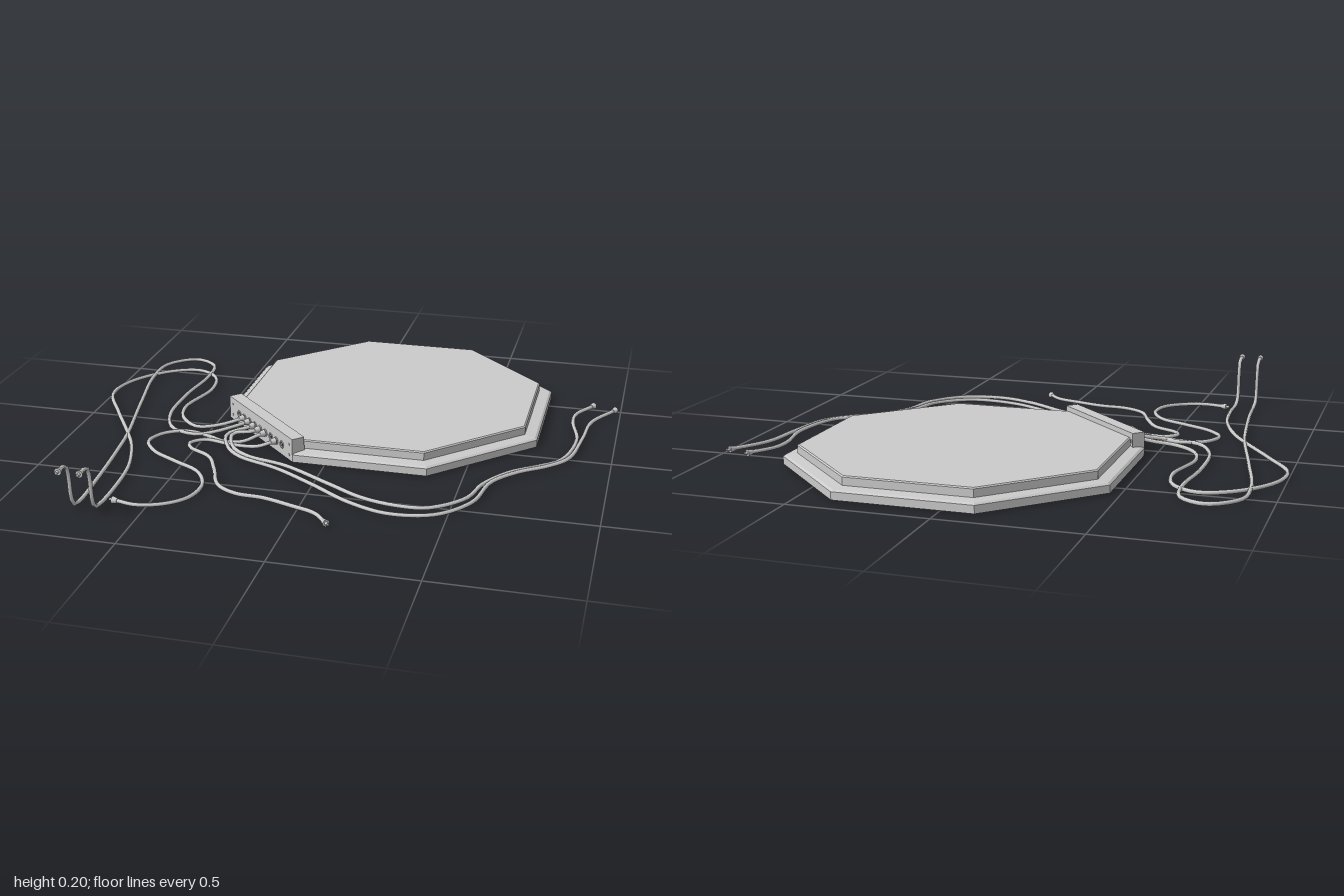
import * as THREE from 'three';

const CX = 0.128, CZ = -0.328;      // centre of the octagonal pad
const APOTHEM = 0.593, INNER = 0.546;
const HALF = APOTHEM * Math.tan(Math.PI / 8);
const PITCH = 0.042, JACK_Y = 0.04; // socket spacing and height
const PANEL_SIDE = 7;               // octagon side that carries the socket panel

const mat = new THREE.MeshStandardMaterial({ color: 0xcccccc, side: THREE.DoubleSide });
const flat = new THREE.MeshStandardMaterial({ color: 0xcccccc, side: THREE.DoubleSide, flatShading: true });

function add(parent, name, geo, material = mat, x = 0, y = 0, z = 0) {
  const m = new THREE.Mesh(geo, material);
  m.name = name;
  m.position.set(x, y, z);
  parent.add(m);
  return m;
}

// Stepped octagonal shell, open underneath and at the socket panel
function padGeometry() {
  const profile = [[APOTHEM, 0], [APOTHEM, 0.028], [APOTHEM - 0.008, 0.034], [INNER, 0.038], [INNER, 0.066], [INNER - 0.005, 0.07]];
  const pos = [];
  const corner = ([a, y], k) => {
    const t = (k - 0.5) * Math.PI / 4, r = a / Math.cos(Math.PI / 8);
    return [r * Math.sin(t), y, r * Math.cos(t)];
  };
  for (let k = 0; k < 8; k++) {
    for (let i = 0; i < profile.length - 1; i++) {
      if (k === PANEL_SIDE && i < 4) continue;
      const a = corner(profile[i], k), b = corner(profile[i], k + 1);
      const c = corner(profile[i + 1], k + 1), d = corner(profile[i + 1], k);
      pos.push(...a, ...b, ...c, ...a, ...c, ...d);
    }
    const top = profile[profile.length - 1];
    pos.push(...corner(top, k), ...corner(top, k + 1), 0, top[1], 0);
  }
  const g = new THREE.BufferGeometry();
  g.setAttribute('position', new THREE.Float32BufferAttribute(pos, 3));
  g.computeVertexNormals();
  return g;
}

// Raised socket housing along one diagonal side; local +z points outward
function socketPanel() {
  const p = new THREE.Group();
  p.name = 'socketPanel';
  p.position.set(CX, 0, CZ);
  p.rotation.y = -Math.PI / 4;

  const face = new THREE.Shape();
  face.moveTo(-HALF, 0).lineTo(HALF, 0).lineTo(HALF, 0.082).lineTo(-HALF, 0.082).closePath();
  for (let i = -4; i <= 4; i++) {
    const hole = new THREE.Path();
    hole.absarc(i * PITCH, JACK_Y, 0.011, 0, Math.PI * 2, true);
    face.holes.push(hole);
  }
  const plate = new THREE.ExtrudeGeometry(face, { depth: 0.006, bevelEnabled: false, curveSegments: 10 });
  add(p, 'panelFace', plate, flat, 0, 0, APOTHEM - 0.006);
  add(p, 'panelTop', new THREE.BoxGeometry(HALF * 2, 0.006, 0.05), flat, 0, 0.085, APOTHEM - 0.025);
  add(p, 'panelBack', new THREE.BoxGeometry(HALF * 2, 0.024, 0.004), flat, 0, 0.074, INNER - 0.001);
  for (const s of [-1, 1]) {
    add(p, 'panelEnd', new THREE.BoxGeometry(0.004, 0.088, 0.05), flat, s * (HALF - 0.002), 0.044, APOTHEM - 0.025);
    for (const y of [0.02, 0.062]) {
      const screw = add(p, 'panelScrew', new THREE.CylinderGeometry(0.005, 0.005, 0.004, 8), mat, s * 0.222, y, APOTHEM);
      screw.rotation.x = Math.PI / 2;
    }
  }
  for (let i = -4; i <= 4; i++) {
    add(p, 'socketRing', new THREE.TorusGeometry(0.012, 0.003, 6, 12), mat, i * PITCH, JACK_Y, APOTHEM);
  }
  return p;
}

// Point on the panel face at a given socket, moved outward by d
function socketPoint(index, d, y) {
  const s = Math.SQRT1_2, t = index * PITCH, r = APOTHEM + d;
  return new THREE.Vector3(CX + s * (t - r), y, CZ + s * (t + r));
}

// Plug pointing from a along direction dir
function plug(parent, a, dir) {
  const g = new THREE.Group();
  g.name = 'plug';
  g.position.copy(a);
  g.quaternion.setFromUnitVectors(new THREE.Vector3(0, 1, 0), dir);
  add(g, 'plugBody', new THREE.CylinderGeometry(0.013, 0.009, 0.02, 10), mat, 0, 0, 0);
  add(g, 'plugTip', new THREE.CylinderGeometry(0.005, 0.006, 0.014, 8), mat, 0, 0.015, 0);
  parent.add(g);
}

// Cable from a socket along floor points [x, z] or [x, z, y] to a free plug
function cable(parent, name, socket, path) {
  const g = new THREE.Group();
  g.name = name;
  const pts = [socketPoint(socket, -0.005, JACK_Y), socketPoint(socket, 0.03, JACK_Y - 0.003)];
  for (const [x, z, y = 0.01] of path) pts.push(new THREE.Vector3(x, y, z));
  const curve = new THREE.CatmullRomCurve3(pts);
  add(g, 'cord', new THREE.TubeGeometry(curve, 90, 0.0075, 7, false));
  const end = curve.getPoint(1), dir = curve.getTangent(1);
  plug(g, end, dir);
  const inward = new THREE.Vector3(Math.SQRT1_2, 0, -Math.SQRT1_2);
  plug(g, socketPoint(socket, 0.015, JACK_Y), inward);
  parent.add(g);
}

// End of a cable that climbs off the floor and turns forward
const risingEnd = x => [[x, 0.77], [x, 0.81, 0.022], [x, 0.826, 0.06], [x, 0.832, 0.13], [x, 0.845, 0.175], [x, 0.87, 0.184], [x, 0.9, 0.184]];

export function createModel() {
  const model = new THREE.Group();
  model.name = 'octagonalPad';

  add(model, 'padShell', padGeometry(), flat, CX, 0, CZ);
  model.add(socketPanel());

  // Two looping cables on the right with raised ends
  cable(model, 'outerLoopCable', -3, [
    [-0.47, 0.05, 0.02], [-0.55, 0.06], [-0.63, -0.01], [-0.66, -0.12], [-0.62, -0.32], [-0.65, -0.45], [-0.74, -0.51],
    [-0.86, -0.46], [-0.97, -0.32], [-0.99, -0.18], [-0.9, -0.01], [-0.79, 0.17], [-0.73, 0.28], [-0.67, 0.46], [-0.65, 0.65],
    ...risingEnd(-0.65)]);
  cable(model, 'innerLoopCable', -2, [
    [-0.46, 0.11, 0.02], [-0.53, 0.13], [-0.63, 0.1], [-0.69, -0.02], [-0.7, -0.24], [-0.68, -0.45], [-0.7, -0.58],
    [-0.79, -0.63], [-0.89, -0.55], [-0.9, -0.4], [-0.85, -0.13], [-0.78, 0.2], [-0.76, 0.35], [-0.735, 0.6],
    ...risingEnd(-0.725)]);

  // Two cables sweeping around the front to the left
  cable(model, 'longCableInner', 0, [
    [-0.39, 0.11, 0.02], [-0.365, 0.2], [-0.29, 0.27], [-0.13, 0.32], [0.06, 0.43], [0.2, 0.51], [0.33, 0.54], [0.43, 0.53],
    [0.54, 0.43], [0.58, 0.3], [0.66, 0.18], [0.76, 0.1], [0.82, 0.04], [0.86, -0.16], [0.83, -0.33], [0.835, -0.41], [0.89, -0.505]]);
  cable(model, 'longCableOuter', -1, [
    [-0.41, 0.12, 0.02], [-0.38, 0.21], [-0.31, 0.285], [-0.155, 0.35], [0, 0.445], [0.165, 0.555], [0.31, 0.605], [0.46, 0.575],
    [0.565, 0.455], [0.605, 0.28], [0.685, 0.175], [0.78, 0.1], [0.845, 0.02], [0.88, -0.18], [0.9, -0.345], [0.975, -0.48]]);

  // Two shorter cables in front of the panel
  cable(model, 'shortCableRight', 1, [
    [-0.33, 0.17, 0.02], [-0.4, 0.17], [-0.48, 0.135], [-0.57, 0.11], [-0.65, 0.15], [-0.68, 0.23], [-0.63, 0.31], [-0.52, 0.38],
    [-0.42, 0.44], [-0.365, 0.54], [-0.375, 0.645], [-0.44, 0.715], [-0.53, 0.745], [-0.61, 0.73]]);
  cable(model, 'shortCableLeft', 3, [
    [-0.27, 0.205, 0.02], [-0.37, 0.19], [-0.48, 0.17], [-0.525, 0.21], [-0.51, 0.25], [-0.42, 0.31], [-0.365, 0.41],
    [-0.31, 0.53], [-0.23, 0.58], [-0.13, 0.59], [-0.02, 0.625], [0.07, 0.66], [0.12, 0.715]]);

  return model;
}
